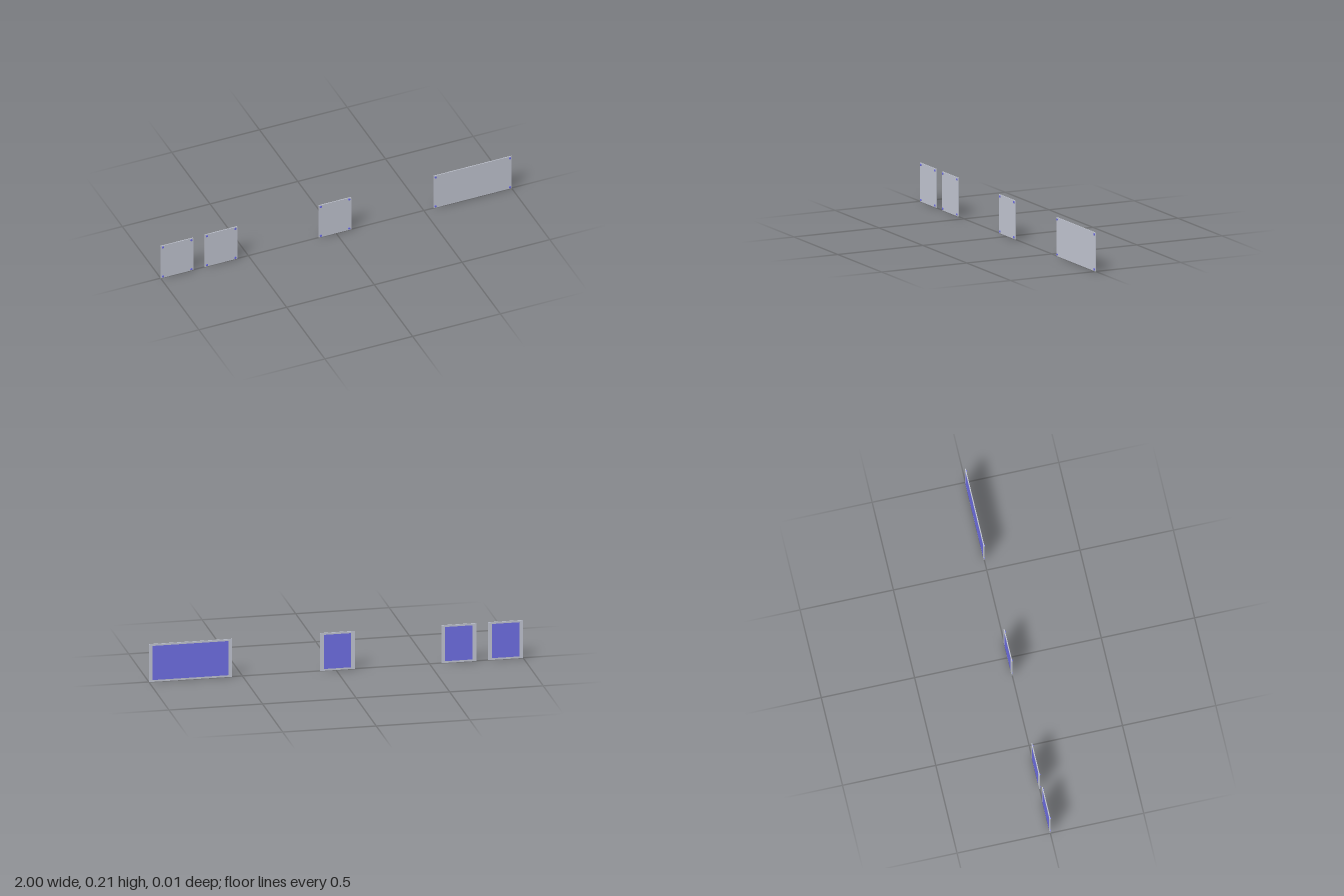
import * as THREE from 'three';

const HEIGHT = 0.207;
const BACK = -0.003, FRONT = 0.0015;

export function createModel() {
  const model = new THREE.Group();
  model.name = 'panelRow';

  const grey = new THREE.MeshStandardMaterial({ color: 0xc1c5d1 });
  grey.name = 'panel grey';
  const blue = new THREE.MeshStandardMaterial({ color: 0x6e6ee3 });
  blue.name = 'violet blue';

  const boltGeometry = new THREE.CylinderGeometry(0.006, 0.006, 0.004, 16).rotateX(Math.PI / 2);

  // One thin plate with a coloured backing and a bolt in each front corner
  function addPanel(name, x0, x1, boltInset) {
    const panel = new THREE.Group();
    panel.name = name;
    panel.position.set((x0 + x1) / 2, HEIGHT / 2, 0);
    const width = x1 - x0;

    const plate = new THREE.Mesh(new THREE.BoxGeometry(width, HEIGHT, FRONT - BACK), grey);
    plate.name = 'plate';
    plate.position.z = (FRONT + BACK) / 2;
    panel.add(plate);

    // Flat face just proud of the plate's back
    const backing = new THREE.Mesh(new THREE.PlaneGeometry(width - 0.04, HEIGHT - 0.02), blue);
    backing.name = 'backing';
    backing.rotation.y = Math.PI;
    backing.position.z = BACK - 0.0005;
    panel.add(backing);

    for (const sx of [-1, 1]) {
      for (const sy of [-1, 1]) {
        const bolt = new THREE.Mesh(boltGeometry, blue);
        bolt.name = 'cornerBolt';
        bolt.position.set(sx * (width / 2 - boltInset), sy * (HEIGHT / 2 - 0.01), FRONT + 0.0015);
        panel.add(bolt);
      }
    }
    model.add(panel);
  }

  addPanel('outerRightPanel', -1, -0.814, 0.012);
  addPanel('innerRightPanel', -0.749, -0.563, 0.012);
  addPanel('middlePanel', -0.1, 0.086, 0.012);
  addPanel('wideLeftPanel', 0.556, 1, 0.01);

  return model;
}
